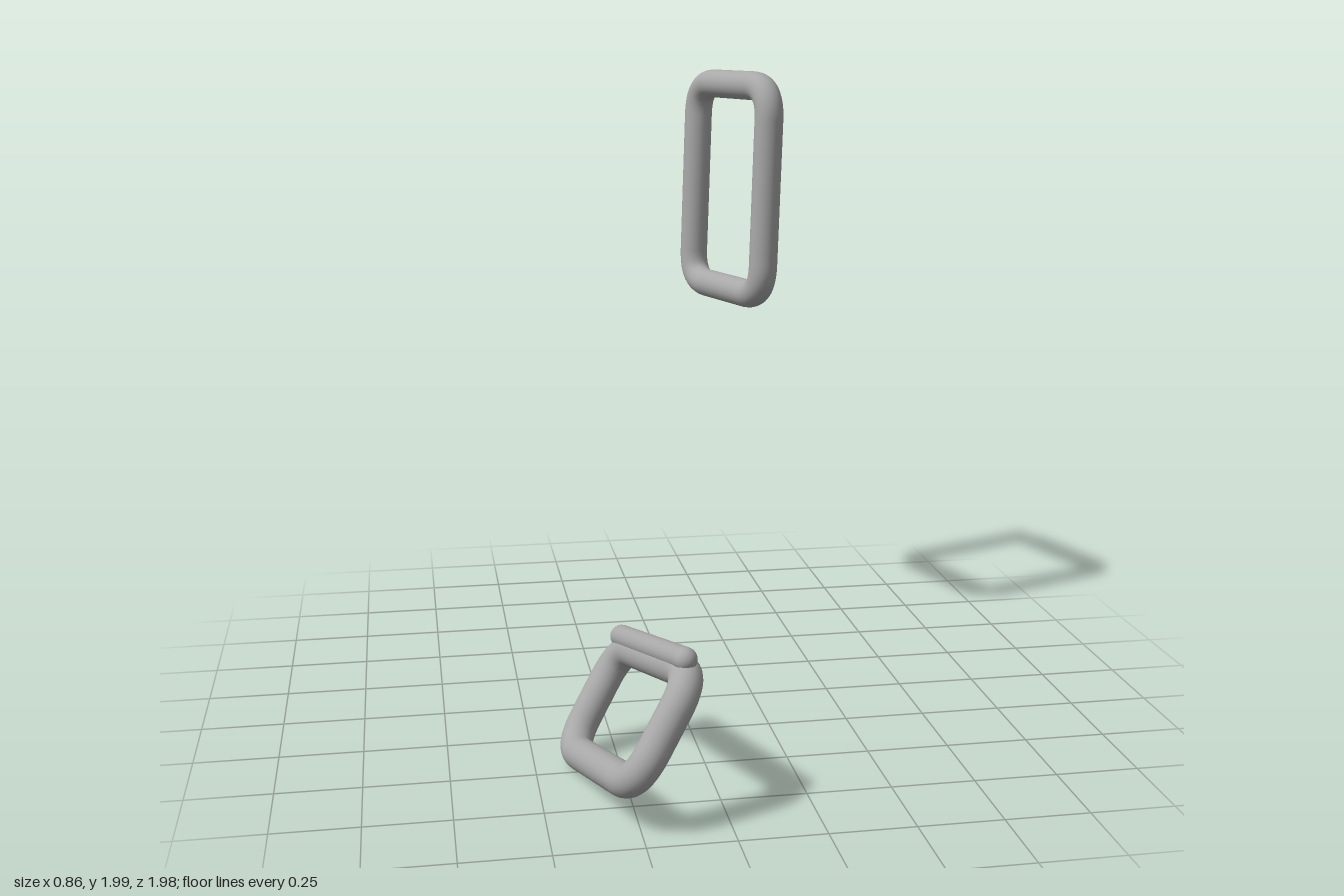
import * as THREE from 'three';

const steel = new THREE.MeshStandardMaterial({ color: 0xa8a8a8 });
steel.name = 'grey steel';

const V = (x, y, z) => new THREE.Vector3(x, y, z);
const ROD = 0.048, BEND = 0.11;

// Closed rod through four corners, each bent round
function ringGeometry(corners) {
  const path = new THREE.CurvePath();
  const toward = (a, b) => a.clone().add(b.clone().sub(a).setLength(BEND));
  corners.forEach((c, i) => {
    const prev = corners[(i + 3) % 4], next = corners[(i + 1) % 4];
    path.add(new THREE.QuadraticBezierCurve3(toward(c, prev), c, toward(c, next)));
    path.add(new THREE.LineCurve3(toward(c, next), toward(next, c)));
  });
  return new THREE.TubeGeometry(path, 200, ROD, 24, true);
}

// Corners run a -> b along the welded long side, then round the ring
function makeLoop(name, a, b, c, d) {
  const group = new THREE.Group();
  group.name = name;
  const ring = new THREE.Mesh(ringGeometry([a, b, c, d]), steel);
  ring.name = 'rectangularRing';
  group.add(ring);

  // Round-ended weld bead on the outer edge, to one side of the ring plane
  const along = b.clone().sub(a).normalize();
  const outward = b.clone().sub(c).normalize();
  const side = outward.clone().cross(along).normalize();
  const length = a.distanceTo(b) - 0.065;
  const bead = new THREE.Mesh(new THREE.CapsuleGeometry(0.034, length, 8, 20), steel);
  bead.name = 'weldBead';
  bead.quaternion.setFromUnitVectors(V(0, 1, 0), along);
  bead.position.copy(a).add(b).multiplyScalar(0.5)
    .addScaledVector(outward, 0.026).addScaledVector(side, 0.029);
  group.add(bead);
  return group;
}

export function createModel() {
  const model = new THREE.Group();
  model.name = 'pairOfLoops';
  model.add(
    // Upright loop at the back
    makeLoop('upperLoop',
      V(0.215, 1.248, -0.93), V(0.238, 1.952, -0.933),
      V(0.392, 1.952, -0.467), V(0.37, 1.248, -0.464)),
    // Tilted loop at the front
    makeLoop('lowerLoop',
      V(-0.098, 0.439, 0.863), V(-0.218, 0.312, 0.292),
      V(-0.39, 0.04, 0.388), V(-0.273, 0.165, 0.95)),
  );
  return model;
}
